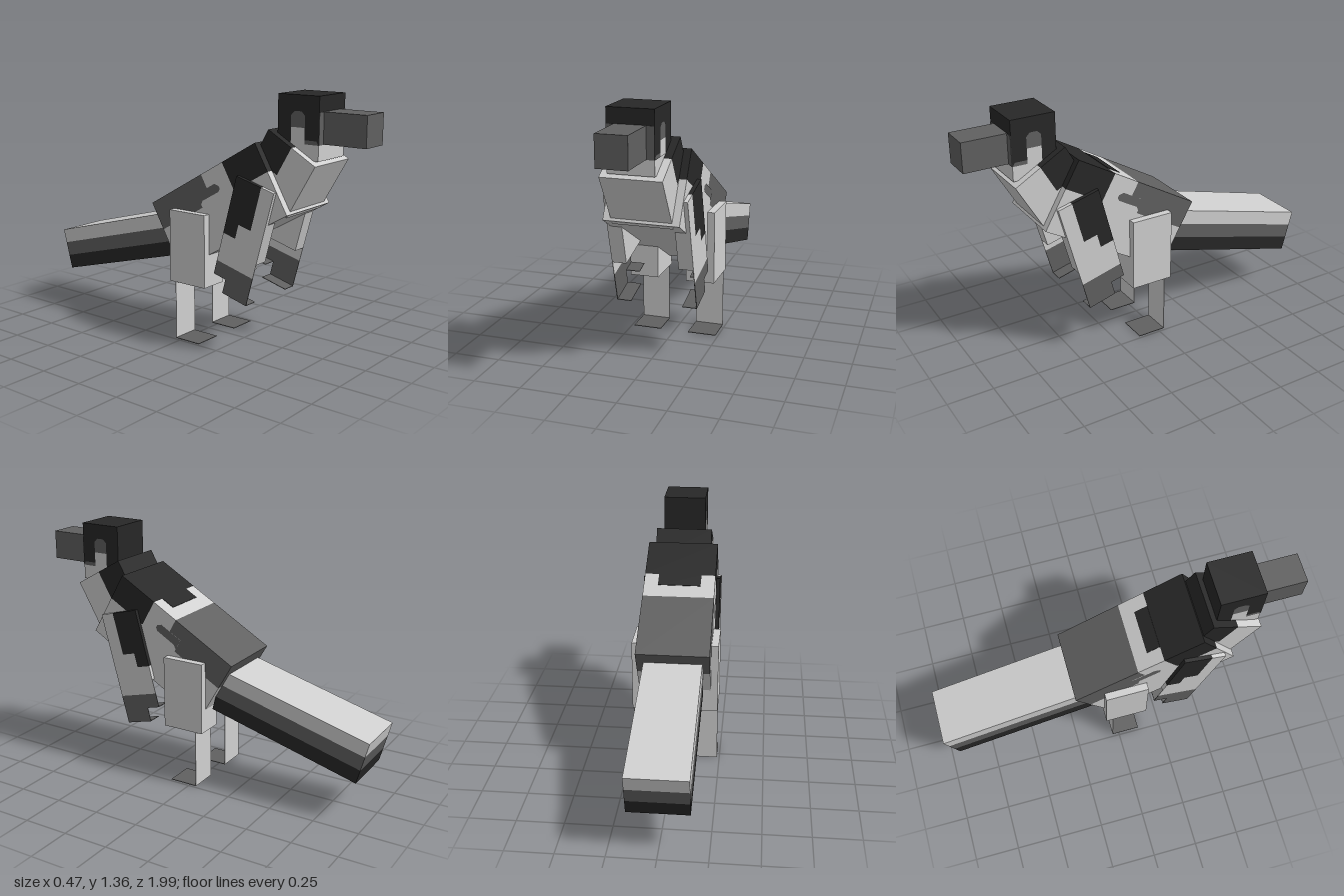
import * as THREE from 'three';

const P = 0.0787; // one block unit

export function createModel() {
  const mat = (name, color) => {
    const m = new THREE.MeshStandardMaterial({ color, side: THREE.DoubleSide });
    m.name = name;
    return m;
  };
  const light = mat('light grey', 0xd0d0d0);
  const dark = mat('dark grey', 0x606060);
  const black = mat('near black', 0x272727);

  const model = new THREE.Group();
  model.name = 'blockyCanine';

  // Part group whose origin is the top front edge, pitched about x
  function part(name, z, y, deg = 0) {
    const g = new THREE.Group();
    g.name = name;
    g.position.set(0, y, z);
    g.rotation.x = THREE.MathUtils.degToRad(deg);
    model.add(g);
    return g;
  }

  // Box in block units: x range, u = distance rearward, v = distance down
  function slab(g, name, m, [x0, x1], [u0, u1], [v0, v1]) {
    const geo = new THREE.BoxGeometry(Math.abs(x1 - x0) * P, (v1 - v0) * P, (u1 - u0) * P);
    const mesh = new THREE.Mesh(geo, m);
    mesh.name = name;
    mesh.position.set((x0 + x1) / 2 * P, -(v0 + v1) / 2 * P, -(u0 + u1) / 2 * P);
    g.add(mesh);
  }

  // Painted patch on both flanks, outlined by [u, v] points
  function flankPatch(g, name, m, half, pts) {
    for (const s of [1, -1]) {
      const shape = new THREE.Shape(pts.map(([u, v]) => new THREE.Vector2(s * u * P, -v * P)));
      const mesh = new THREE.Mesh(new THREE.ShapeGeometry(shape), m);
      mesh.name = name;
      mesh.rotation.y = s * Math.PI / 2;
      mesh.position.x = s * (half * P + 0.002);
      g.add(mesh);
    }
  }

  // Head
  const head = part('head', 0.765, 1.357);
  const hw = [-1.5, 1.5];
  slab(head, 'skull', black, hw, [0, 3], [0, 3]);
  slab(head, 'jaw', light, hw, [0, 2], [3, 4]);
  slab(head, 'nape', black, hw, [2, 3], [3, 4]);
  slab(head, 'face', dark, hw, [-0.03, 0], [1, 3]);
  flankPatch(head, 'eyePatch', dark, 1.5, [[1, 2], [1, 1.25], [1.25, 1], [1.75, 1], [2, 1.25], [2, 2]]);
  flankPatch(head, 'cheek', light, 1.5, [[1, 3], [1, 2], [2, 2], [2, 3]]);
  flankPatch(head, 'muzzleCorner', dark, 1.5, [[0, 3], [0.15, 2.75], [1, 2.75], [1, 3]]);

  const snout = part('snout', 1.0, 1.28);
  slab(snout, 'muzzle', dark, [-1, 1], [0, 3], [0, 2]);

  // Neck
  const neck = part('neck', 0.773, 1.024, 30);
  const nw = [-2, 2];
  slab(neck, 'throat', light, nw, [0, 2], [0, 4]);
  slab(neck, 'mane', black, nw, [2, 4], [0, 2.1]);
  slab(neck, 'neckBase', light, nw, [2, 4], [2.1, 4]);

  // Body, divided where the coat changes colour
  const body = part('body', 0.447, 1.115, -30);
  const bw = [-2.5, 2.5];
  slab(body, 'belly', light, bw, [0, 10], [2, 5]);
  slab(body, 'shoulders', black, bw, [0, 3], [0, 2]);
  slab(body, 'waist', light, bw, [3, 5], [0, 2]);
  slab(body, 'waistLower', light, bw, [5, 6], [1, 2]);
  slab(body, 'rumpTop', dark, bw, [5, 10], [0, 1]);
  slab(body, 'rump', dark, bw, [6, 10], [1, 2]);
  slab(body, 'saddleTip', black, [-1.5, 1.5], [3, 4], [-0.03, 0]);
  flankPatch(body, 'flankMark', dark, 2.5,
    [[4, 1.25], [4.25, 1], [6, 1], [6, 1.8], [5.75, 1.6], [4.2, 1.6], [4, 1.45]]);

  // Tail in three layers
  const tail = part('tail', -0.158, 0.671, -15);
  [['tailTop', light], ['tailMiddle', dark], ['tailUnderside', black]].forEach(([name, m], i) =>
    slab(tail, name, m, [-2, 2], [0, 11], [i, i + 1]));

  for (const s of [1, -1]) {
    const side = s > 0 ? 'left' : 'right';

    // Front leg: solid above, a thin outer sheet with sole plates below
    const leg = part(side + 'FrontLeg', 0.58, 0.88, 15);
    const lx = [s * 1.77, s * 2.77];
    const sheet = [s * 2.73, s * 2.77];
    slab(leg, 'legFront', light, lx, [0, 1], [0, 3]);
    slab(leg, 'legShoulder', black, lx, [1, 3], [0, 3]);
    slab(leg, 'legMiddle', light, lx, [0, 2], [3, 4]);
    slab(leg, 'legMark', black, lx, [2, 3], [3, 4]);
    slab(leg, 'legLower', light, lx, [0, 3], [4, 5]);
    slab(leg, 'wrist', light, sheet, [0, 3], [5, 6]);
    slab(leg, 'paw', dark, sheet, [0, 3], [6, 7]);
    slab(leg, 'pawToe', dark, sheet, [0, 2], [7, 8]);
    slab(leg, 'heelSole', dark, lx, [2, 3], [6.96, 7]);
    slab(leg, 'toeSole', dark, lx, [0, 2], [7.96, 8]);

    // Hind leg: thigh block, flat shank and flat foot
    const hind = part(side + 'HindLeg', 0.16, 0.713);
    const tx = [s * 1, s * 3];
    const bottom = 0.713 / P;
    slab(hind, 'thigh', light, tx, [0, 3], [0, 5]);
    slab(hind, 'shank', light, tx, [2.48, 2.52], [5, bottom]);
    slab(hind, 'foot', dark, tx, [0.5, 2.5], [bottom - 0.04, bottom]);
  }

  return model;
}
